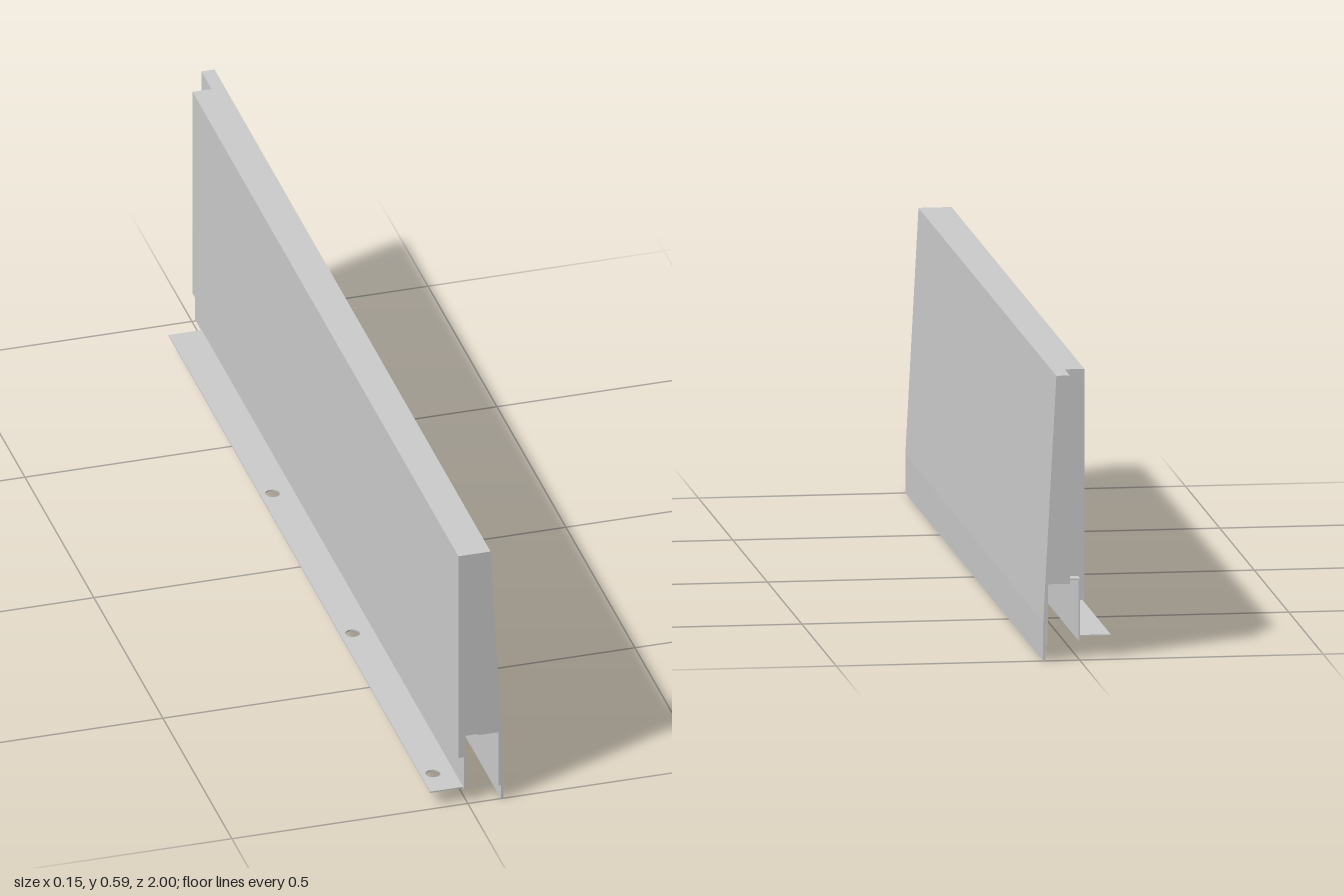
import * as THREE from 'three';

const material = new THREE.MeshStandardMaterial({ color: 0xcccccc, flatShading: true });

// Extrudes an x-y profile along z from z0 to z1
function extrudeProfile(name, points, z0, z1) {
  const shape = new THREE.Shape(points.map(([x, y]) => new THREE.Vector2(x, y)));
  const geometry = new THREE.ExtrudeGeometry(shape, { depth: z1 - z0, bevelEnabled: false });
  geometry.translate(0, 0, z0);
  const mesh = new THREE.Mesh(geometry, material);
  mesh.name = name;
  return mesh;
}

export function createModel() {
  const group = new THREE.Group();
  group.name = 'sidePanel';

  const top = 0.588;      // top of the panel
  const channel = 0.158;  // ceiling of the channel underneath
  const sheet = 0.003;    // bracket sheet thickness
  const flangeY = 0.032;

  // Outer half of the panel: sloping face with a stepped lower skirt
  group.add(extrudeProfile('outerPanel', [
    [0.02, channel], [0.065, channel], [0.065, flangeY], [0.07, flangeY], [0.07, 0],
    [0.075, 0], [0.075, 0.08], [0.048, top], [0.02, top],
  ], -1, 1));

  // Inner half: shorter at the back, with a lip hanging over the bracket
  group.add(extrudeProfile('innerPanel', [
    [-0.02, 0.111], [-0.007, 0.111], [-0.007, channel + sheet],
    [0.02, channel + sheet], [0.02, top], [-0.02, top],
  ], -0.927, 1));

  // Bent sheet bracket: ceiling of the channel and upright web
  group.add(extrudeProfile('bracketWeb', [
    [-0.007, flangeY], [-0.004, flangeY], [-0.004, channel],
    [0.02, channel], [0.02, channel + sheet], [-0.007, channel + sheet],
  ], -0.955, 0.995));

  // Mounting flange with three screw holes (shape y runs along -z)
  const flange = new THREE.Shape([
    new THREE.Vector2(-0.077, -0.99), new THREE.Vector2(-0.007, -0.99),
    new THREE.Vector2(-0.007, 0.905), new THREE.Vector2(-0.077, 0.905),
  ]);
  for (const z of [-0.24, 0.34, 0.922]) {
    const hole = new THREE.Path();
    hole.absarc(-0.051, -z, 0.015, 0, Math.PI * 2, true);
    flange.holes.push(hole);
  }
  const flangeGeometry = new THREE.ExtrudeGeometry(flange, {
    depth: sheet, bevelEnabled: false, curveSegments: 24,
  });
  flangeGeometry.rotateX(-Math.PI / 2).translate(0, flangeY, 0);
  const flangeMesh = new THREE.Mesh(flangeGeometry, material);
  flangeMesh.name = 'mountingFlange';
  group.add(flangeMesh);

  return group;
}
